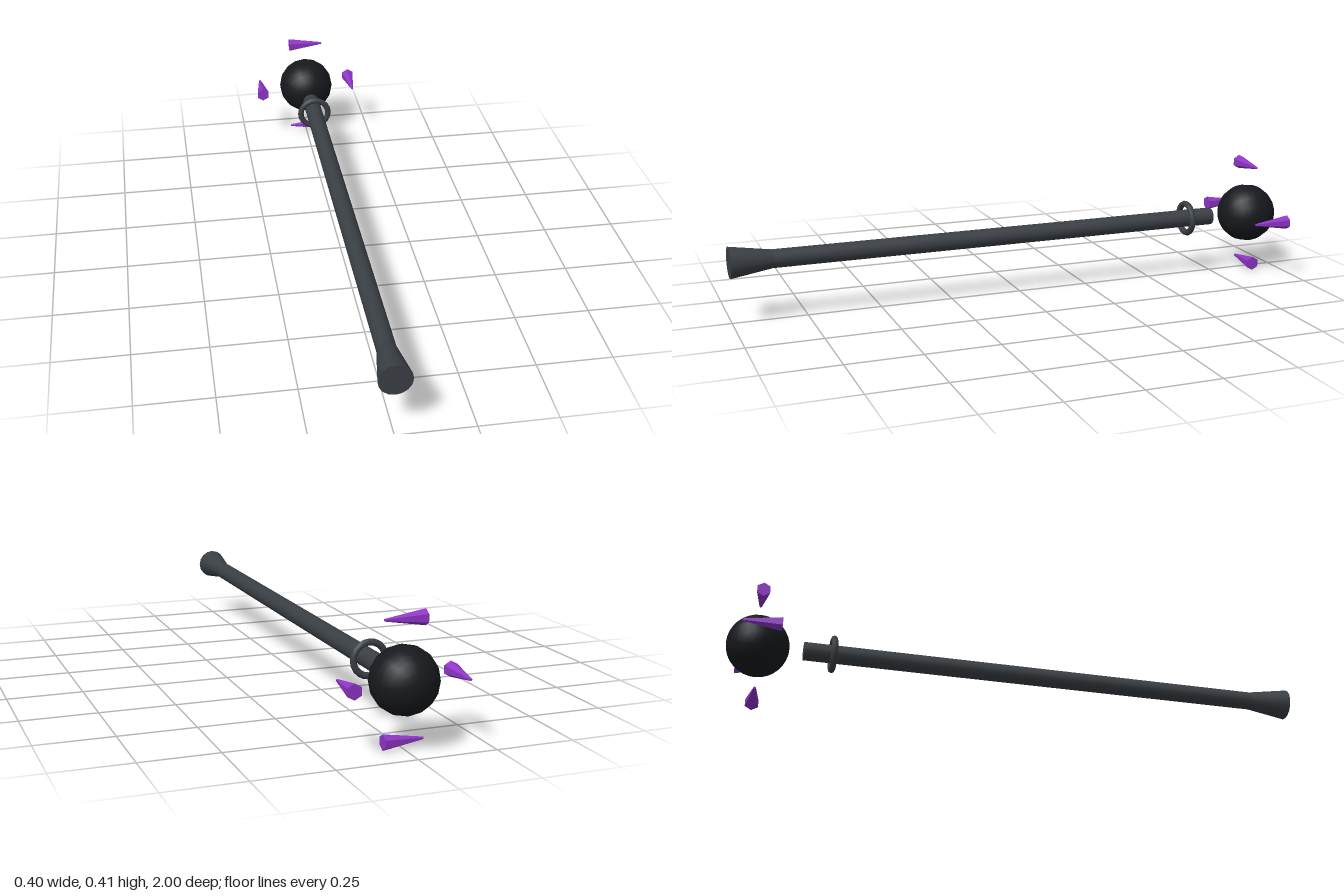
import * as THREE from 'three';

const AXIS_Y = 0.205;   // height of the staff's axis
const ORB_Z = -0.896;

const material = (color, flatShading = false) => {
  const m = new THREE.MeshStandardMaterial({ flatShading });
  m.color.set(color);
  return m;
};

export function createModel() {
  const group = new THREE.Group();
  const metal = material(0x3a3f44);
  const dark = material(0x16191d);
  const crystal = material(0x9035c8, true);

  const add = (name, geometry, mat, x, y, z) => {
    const mesh = new THREE.Mesh(geometry, mat);
    mesh.name = name;
    mesh.position.set(x, y, z);
    group.add(mesh);
    return mesh;
  };

  // Rod lying along z, its +y end turned to the front
  const rod = (name, rFront, rBack, zFront, zBack) => add(
    name,
    new THREE.CylinderGeometry(rFront, rBack, zFront - zBack, 16).rotateX(Math.PI / 2),
    metal, 0, AXIS_Y, (zFront + zBack) / 2);

  rod('shaft', 0.031, 0.031, 0.87, -0.745);
  rod('flaredPommel', 0.053, 0.031, 1, 0.86);

  // Loose ring near the head
  add('ring', new THREE.TorusGeometry(0.053, 0.011, 8, 20), metal, 0, AXIS_Y, -0.647);

  // Floating orb, poles along the staff
  add('orb', new THREE.SphereGeometry(0.104, 16, 16).rotateX(Math.PI / 2), dark, 0, AXIS_Y, ORB_Z);

  // Hexagonal shards circling the orb, modelled with the tip towards +x
  const shard = new THREE.CylinderGeometry(0.004, 0.025, 0.128, 6)
    .rotateY(Math.PI / 6).rotateZ(-Math.PI / 2);
  const d = 0.18;
  for (const [name, x, y, turn] of [
    ['topShard', 0, d, 0],
    ['bottomShard', 0, -d, Math.PI],
    ['rightShard', -d, 0, Math.PI / 2],
    ['leftShard', d, 0, -Math.PI / 2],
  ]) add(name, shard, crystal, x, AXIS_Y + y, ORB_Z).rotation.y = turn;

  return group;
}
